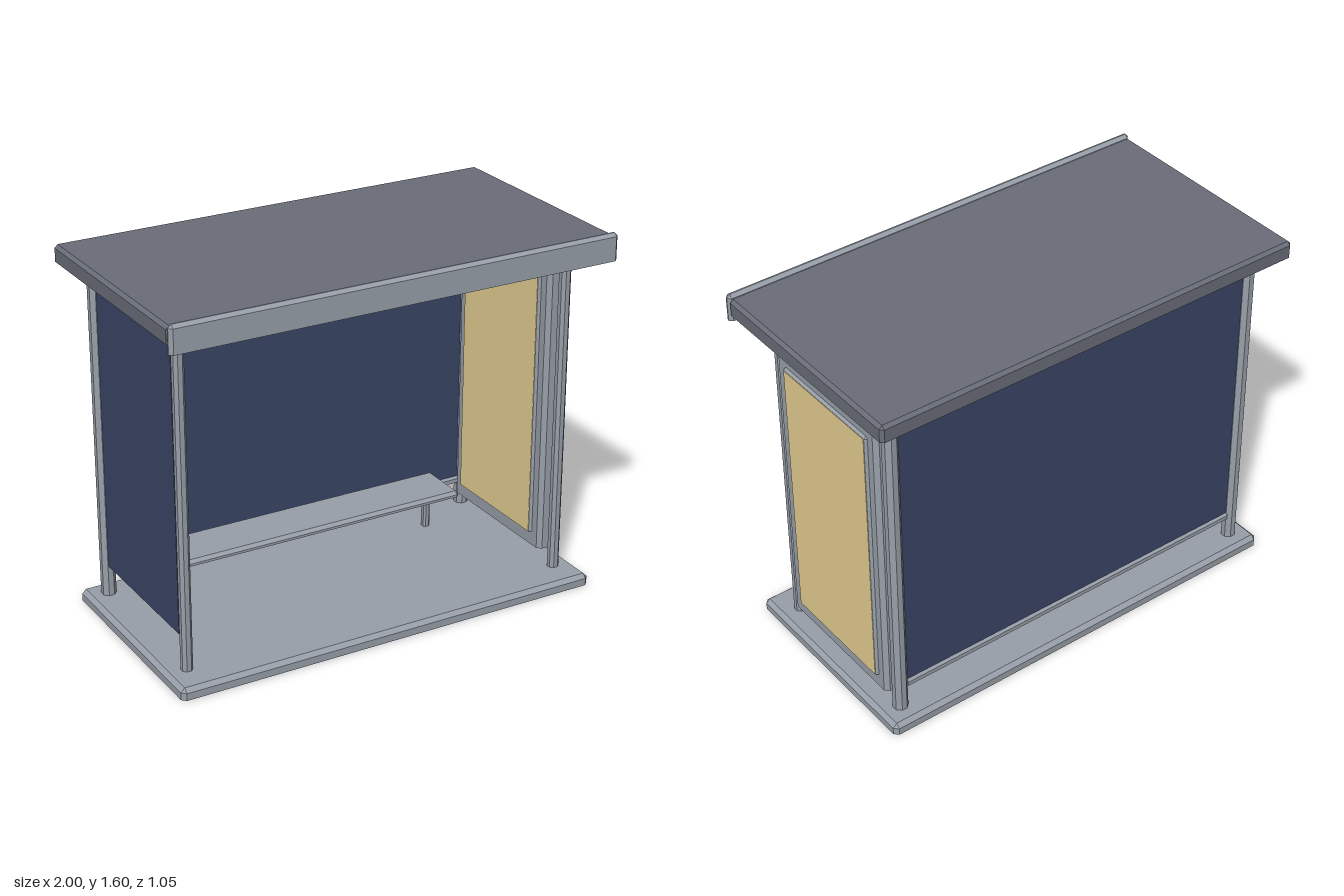
import * as THREE from 'three';
import { ConvexGeometry } from 'three/addons/geometries/ConvexGeometry.js';

const mat = (name, color) => {
  const m = new THREE.MeshStandardMaterial({ color, side: THREE.DoubleSide });
  m.name = name;
  return m;
};

// Pressed shell: open underneath, clipped vertical edges and a chamfered top
function chamferShell([x0, x1], [y0, y1], [z0, z1], c) {
  const pts = [];
  for (const [x, sx] of [[x0, 1], [x1, -1]]) {
    for (const [z, sz] of [[z0, 1], [z1, -1]]) {
      for (const y of [y0, y1 - c]) {
        pts.push(new THREE.Vector3(x + sx * c, y, z), new THREE.Vector3(x, y, z + sz * c));
      }
      pts.push(new THREE.Vector3(x + sx * c, y1, z + sz * c));
    }
  }
  // Keep every triangle except those of the underside
  const hull = new ConvexGeometry(pts);
  const pos = hull.attributes.position, normal = hull.attributes.normal;
  const keep = [];
  for (let i = 0; i < pos.count; i += 3) {
    if (normal.getY(i) > -0.9) keep.push(i, i + 1, i + 2);
  }
  hull.setIndex(keep);
  return hull.toNonIndexed();
}

function plainBox([x0, x1], [y0, y1], [z0, z1]) {
  return new THREE.BoxGeometry(x1 - x0, y1 - y0, z1 - z0)
    .translate((x0 + x1) / 2, (y0 + y1) / 2, (z0 + z1) / 2);
}

export function createModel() {
  const metal = mat('brushed metal', 0x99a0aa);
  const roofGrey = mat('roof grey', 0x6a6e79);
  const glass = mat('dark blue glass', 0x3a4666);
  const cream = mat('poster cream', 0xe5cf92);

  const model = new THREE.Group();
  model.name = 'busShelter';
  const add = (name, geometry, material) => {
    const mesh = new THREE.Mesh(geometry, material);
    mesh.name = name;
    model.add(mesh);
  };
  const around = (c, r) => [c - r, c + r];

  // Floor slab, roof and front fascia
  add('floorSlab', chamferShell([-0.97, 0.97], [0, 0.05], [-0.493, 0.477], 0.018), metal);
  add('roof', chamferShell([-0.997, 0.997], [1.518, 1.59], [-0.525, 0.5], 0.014), roofGrey);
  add('fascia', chamferShell([-1, 1], [1.486, 1.604], [0.49, 0.525], 0.014), metal);

  // Corner posts: slim at the front, thicker at the back
  for (const side of [-1, 1]) {
    const label = side > 0 ? 'left' : 'right';
    add(label + 'FrontPost', chamferShell(around(side * 0.88, 0.023), [0.05, 1.575], around(0.333, 0.023), 0.013), metal);
    add(label + 'BackPost', chamferShell(around(side * 0.88, 0.03), [0.05, 1.518], around(-0.4, 0.03), 0.018), metal);
  }

  // Back glazing with its rails, and side glazing
  add('backGlass', plainBox([-0.86, 0.86], [0.17, 1.45], around(-0.4, 0.01)), glass);
  add('bottomRail', chamferShell([-0.86, 0.86], [0.155, 0.184], around(-0.4, 0.02), 0.01), metal);
  add('topRail', chamferShell([-0.86, 0.86], [1.428, 1.463], around(-0.4, 0.02), 0.012), metal);
  add('sideGlass', plainBox(around(-0.88, 0.01), [0.19, 1.44], [-0.38, 0.292]), glass);

  // Poster cabinet with a raised frame and a poster on each face
  add('posterCabinet', chamferShell(around(0.877, 0.047), [0.121, 1.456], [-0.37, 0.295], 0.018), metal);
  add('posterFrame', chamferShell(around(0.877, 0.057), [0.183, 1.389], [-0.32, 0.24], 0.01), metal);
  for (const side of [-1, 1]) {
    add(side > 0 ? 'outerPoster' : 'innerPoster',
      plainBox(around(0.877 + side * 0.057, 0.002), [0.183, 1.378], [-0.309, 0.229]), cream);
  }

  // Bench
  add('benchSeat', chamferShell([-0.665, 0.665], [0.257, 0.282], [-0.32, -0.08], 0.014), metal);
  for (const side of [-1, 1]) {
    add(side > 0 ? 'leftBenchLeg' : 'rightBenchLeg',
      chamferShell(around(side * 0.608, 0.016), [0.05, 0.275], around(-0.268, 0.017), 0.008), metal);
  }
  return model;
}
